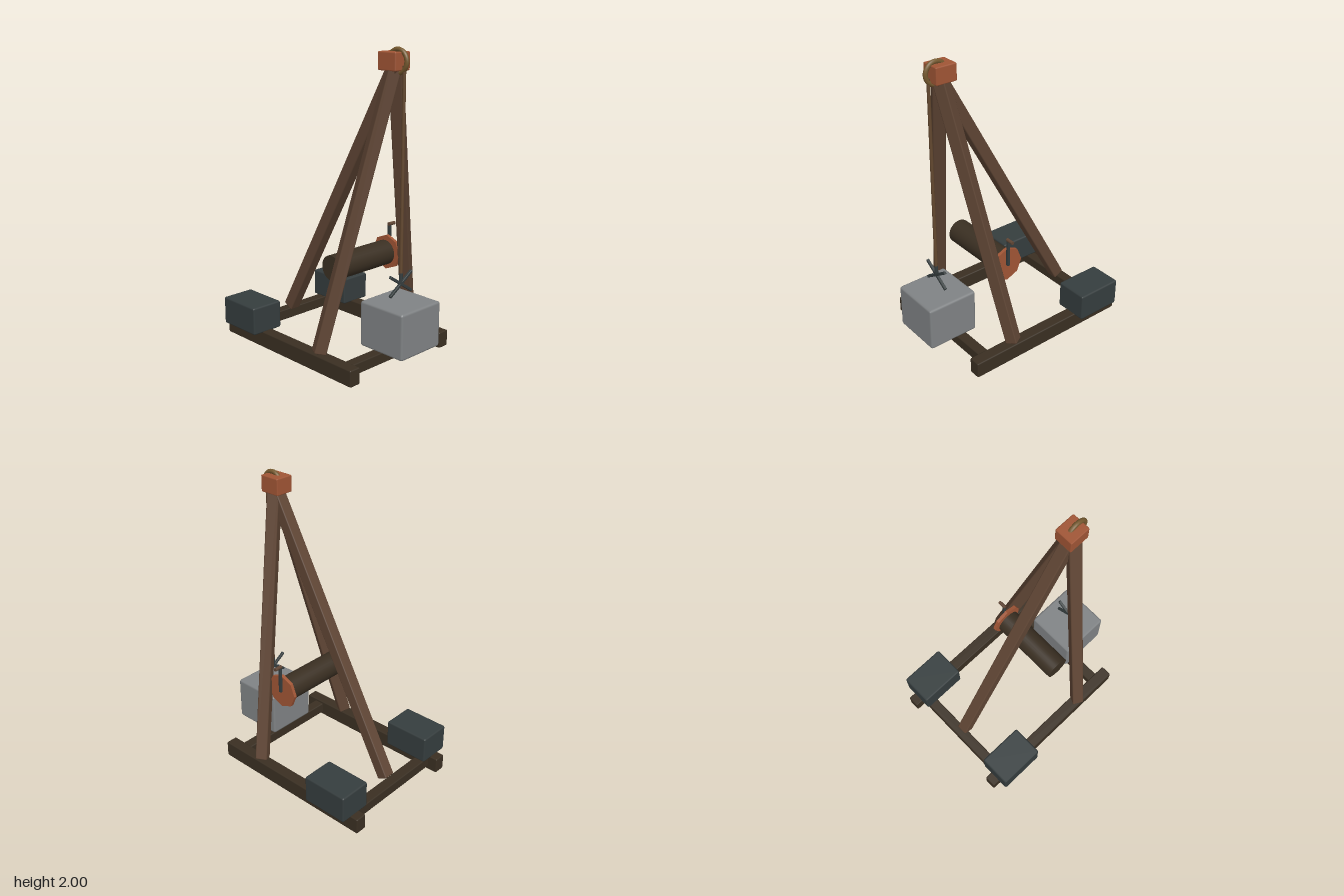
import * as THREE from 'three';
import { RoundedBoxGeometry } from 'three/addons/geometries/RoundedBoxGeometry.js';

const paint = (name, color) => {
  const m = new THREE.MeshStandardMaterial({ color });
  m.name = name;
  return m;
};

export function createModel() {
  const darkWood = paint('dark wood', 0x3a2f22);
  const wood = paint('brown wood', 0x5f4534);
  const copper = paint('copper', 0xa05535);
  const iron = paint('dark iron', 0x353d3e);
  const stone = paint('grey stone', 0x808385);
  const brass = paint('old brass', 0x75592f);
  const rope = paint('rope', 0x63482f);

  const model = new THREE.Group();
  model.name = 'hoist';

  const add = (name, geometry, material, x, y, z) => {
    const mesh = new THREE.Mesh(geometry, material);
    mesh.name = name;
    mesh.position.set(x, y, z);
    model.add(mesh);
    return mesh;
  };
  // Box with narrow bevelled edges
  const block = (name, size, material, x, y, z, bevel = 0.008) =>
    add(name, new RoundedBoxGeometry(...size, 1, bevel), material, x, y, z);
  // Square timber between two points, kept level across its width
  const timber = (name, from, to, width) => {
    const a = new THREE.Vector3(...from), b = new THREE.Vector3(...to);
    const mid = a.clone().add(b).multiplyScalar(0.5);
    block(name, [width, width, a.distanceTo(b)], wood, mid.x, mid.y, mid.z).lookAt(b);
  };
  // Cylinder lying along x
  const axle = (name, radius, length, sides, material, x, y, z) => {
    let g = new THREE.CylinderGeometry(radius, radius, length, sides).rotateZ(Math.PI / 2);
    if (sides < 12) {
      g = g.toNonIndexed();
      g.computeVertexNormals();
    }
    return add(name, g, material, x, y, z);
  };

  // Base frame, rear weights and front legs
  for (const [side, s] of [['left', 1], ['right', -1]]) {
    block(side + 'Skid', [0.082, 0.11, 1.21], darkWood, s * 0.415, 0.055, -0.078);
    block(side + 'Counterweight', [0.228, 0.188, 0.325], iron, s * 0.413, 0.196, -0.467, 0.012);
    timber(side + 'FrontLeg', [s * 0.417, 0.115, 0.205], [0, 1.92, 0.437], 0.08);
  }
  block('frontCrossBeam', [0.78, 0.075, 0.075], darkWood, 0, 0.057, 0.415);
  block('rearCrossBeam', [0.78, 0.075, 0.075], darkWood, 0, 0.057, -0.575);
  timber('rearLeg', [0, 0.115, -0.54], [0, 1.9, 0.45], 0.08);

  // Head block and hanging ring
  block('headBlock', [0.13, 0.112, 0.146], copper, 0, 1.915, 0.423);
  add('pulleyRing', new THREE.TorusGeometry(0.07, 0.015, 10, 32).rotateY(Math.PI / 2),
    brass, 0, 1.914, 0.456);

  // Rope, crossed grab bars and load
  add('rope', new THREE.CylinderGeometry(0.011, 0.011, 1.33, 10), rope, 0, 1.225, 0.508);
  for (const s of [1, -1]) {
    const bar = block('grabBar', [0.235, 0.018, 0.018], iron, 0, 0.545, 0.508, 0.003);
    bar.rotation.z = s * 0.585;
  }
  add('grabCollar', new THREE.CylinderGeometry(0.012, 0.012, 0.06, 10), iron, 0, 0.585, 0.508);
  block('stoneLoad', [0.356, 0.302, 0.356], stone, 0, 0.281, 0.507, 0.016);

  // Winch drum, wheel and crank
  axle('winchDrum', 0.083, 0.495, 28, darkWood, -0.001, 0.615, 0.141);
  axle('winchWheel', 0.118, 0.022, 8, copper, 0.264, 0.615, 0.145);
  block('crankArm', [0.018, 0.19, 0.02], iron, 0.284, 0.708, 0.145, 0.003);
  axle('crankGrip', 0.012, 0.056, 12, wood, 0.302, 0.803, 0.145);

  return model;
}
